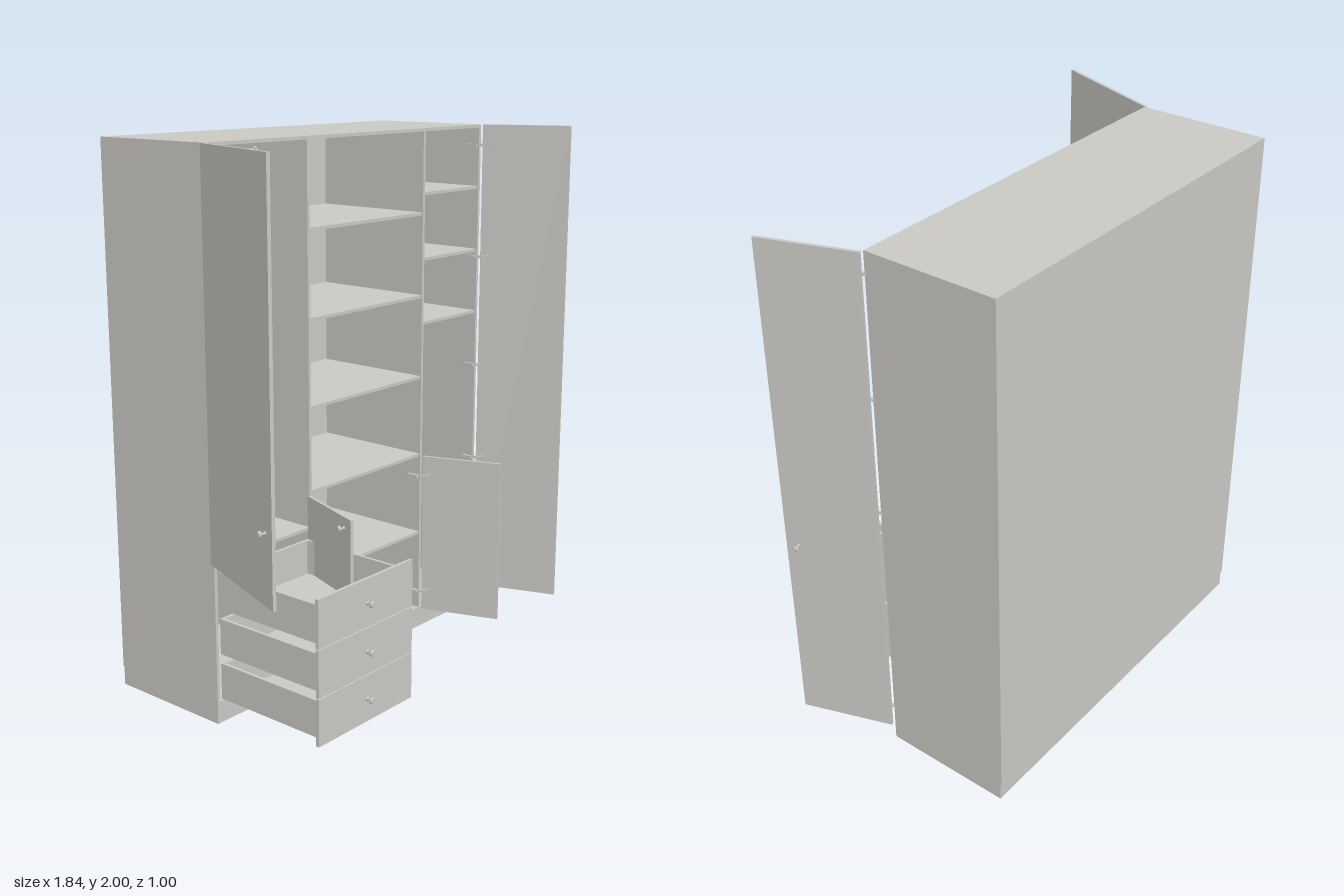
import * as THREE from 'three';

export function createModel() {
  const model = new THREE.Group();
  model.name = 'wardrobe';
  const paint = new THREE.MeshStandardMaterial({ color: 0xcac8c3 });
  paint.name = 'warm grey board';
  const T = 0.012; // board thickness

  // Board given by its min and max on each axis
  function board(parent, name, x0, x1, y0, y1, z0, z1) {
    const mesh = new THREE.Mesh(new THREE.BoxGeometry(x1 - x0, y1 - y0, z1 - z0), paint);
    mesh.position.set((x0 + x1) / 2, (y0 + y1) / 2, (z0 + z1) / 2);
    mesh.name = name;
    parent.add(mesh);
    return mesh;
  }

  // Turned knob whose axis starts along +z
  const knobProfile = [[0, 0], [0.008, 0], [0.008, 0.003], [0.004, 0.004], [0.004, 0.015],
    [0.012, 0.018], [0.012, 0.024], [0.009, 0.027], [0, 0.027]];
  const knobGeometry = new THREE.LatheGeometry(knobProfile.map(p => new THREE.Vector2(...p)), 20);
  knobGeometry.rotateX(Math.PI / 2);
  function knob(parent, x, y, z, turn = 0) {
    const mesh = new THREE.Mesh(knobGeometry, paint);
    mesh.position.set(x, y, z);
    mesh.rotation.y = turn;
    mesh.name = 'knob';
    parent.add(mesh);
  }

  // Carcass
  const L = -0.73, R = 0.77, P1 = -0.24, P2 = 0.41, B = -0.495;
  const carcass = new THREE.Group();
  carcass.name = 'carcass';
  model.add(carcass);
  board(carcass, 'leftSide', L, L + T, 0.07, 2, B, 0);
  board(carcass, 'rightSide', R - T, R, 0.07, 2, B, 0);
  board(carcass, 'topPanel', L + T, R - T, 2 - T, 2, B, 0);
  board(carcass, 'bottomPanel', L + T, R - T, 0.07, 0.07 + T, B, 0);
  board(carcass, 'backPanel', L, R, 0.07, 2, -0.5, B);
  for (const x of [P1, P2]) {
    board(carcass, 'partition', x - T / 2, x + T / 2, 0.07 + T, 2 - T, B, -0.001);
  }

  // Hollow plinth
  board(carcass, 'plinthFront', L, R, 0, 0.07, -T, 0);
  board(carcass, 'plinthBack', L, R, 0, 0.07, B, B + T);
  for (const x of [L, R - T]) board(carcass, 'plinthSide', x, x + T, 0, 0.07, B + T, -T);

  // Shelves of the three bays
  const bays = [
    [L + T, P1 - T / 2, [0.591]],
    [P1 + T / 2, P2 - T / 2, [0.402, 0.727, 1.042, 1.362, 1.68]],
    [P2 + T / 2, R - T, [1.255, 1.505, 1.755]],
  ];
  for (const [x0, x1, heights] of bays) {
    for (const y of heights) board(carcass, 'shelf', x0, x1, y - T / 2, y + T / 2, B, -0.005);
  }

  // Hanging rails with end sockets
  function rail(x0, x1, y) {
    const parts = [['hangingRail', 0.007, x0, x1], ['railSocket', 0.014, x0, x0 + 0.008],
      ['railSocket', 0.014, x1 - 0.008, x1]];
    for (const [name, r, a, b] of parts) {
      const mesh = new THREE.Mesh(new THREE.CylinderGeometry(r, r, b - a, 16), paint);
      mesh.rotation.z = Math.PI / 2;
      mesh.position.set((a + b) / 2, y, -0.25);
      mesh.name = name;
      carcass.add(mesh);
    }
  }
  rail(L + T, P1 - T / 2, 1.941);
  rail(P2 + T / 2, R - T, 1.205);

  // Open doors: side is -1 when swung to -x, 1 when swung to +x
  const swing = THREE.MathUtils.degToRad(20);
  function door(name, side, x, length, y0, y1, knobY, hinges) {
    const group = new THREE.Group();
    group.name = name;
    group.position.x = x;
    group.rotation.y = side * swing;
    model.add(group);
    board(group, 'doorPanel', -T / 2, T / 2, y0, y1, 0.002, length);
    knob(group, side * T / 2, knobY, length - 0.045, side * Math.PI / 2);
    const inner = -side * T / 2;
    for (const y of hinges) {
      const cup = new THREE.Mesh(new THREE.CylinderGeometry(0.012, 0.012, 0.005, 16), paint);
      cup.rotation.z = Math.PI / 2;
      cup.position.set(inner - side * 0.0025, y, 0.022);
      cup.name = 'hingeCup';
      group.add(cup);
      const armX = inner - side * 0.008;
      board(group, 'hingeArm', armX - 0.005, armX + 0.005, y - 0.005, y + 0.005, -0.012, 0.024);
      // Mounting plate on the carcass board behind the door
      const plateX = x - side * 0.028;
      board(carcass, 'hingePlate', plateX - 0.006, plateX + 0.006, y - 0.006, y + 0.006, -0.05, -0.004);
    }
  }
  door('leftDoor', -1, -0.738, 0.475, 0.595, 2, 0.838, [0.675, 1.09, 1.505, 1.92]);
  door('lowLeftDoor', -1, -0.252, 0.32, 0.073, 0.72, 0.68, [0.155, 0.64]);
  door('lowRightDoor', 1, 0.422, 0.32, 0.073, 0.72, 0.68, [0.155, 0.64]);
  door('rightDoor', 1, 0.782, 0.352, 0.073, 2, 0.838, [0.155, 0.64, 1.035, 1.478, 1.92]);

  // Pulled-out drawers: front bottom, front top, box bottom, box top, knob height
  const drawers = [
    [0.073, 0.241, 0.09, 0.222, 0.157],
    [0.245, 0.413, 0.257, 0.388, 0.33],
    [0.417, 0.588, 0.424, 0.557, 0.503],
  ];
  for (const [f0, f1, b0, b1, ky] of drawers) {
    const drawer = new THREE.Group();
    drawer.name = 'drawer';
    model.add(drawer);
    const x0 = -0.709, x1 = -0.263;
    board(drawer, 'drawerFront', L, -0.245, f0, f1, 0.461, 0.474);
    board(drawer, 'drawerSide', x0, x0 + T, b0, b1, 0, 0.461);
    board(drawer, 'drawerSide', x1 - T, x1, b0, b1, 0, 0.461);
    board(drawer, 'drawerBack', x0 + T, x1 - T, b0, b1, 0, T);
    board(drawer, 'drawerInnerFront', x0 + T, x1 - T, b0, b1, 0.449, 0.461);
    board(drawer, 'drawerBottom', x0 + T, x1 - T, b0, b0 + 0.006, T, 0.449);
    knob(drawer, -0.487, ky, 0.474);
  }
  return model;
}
